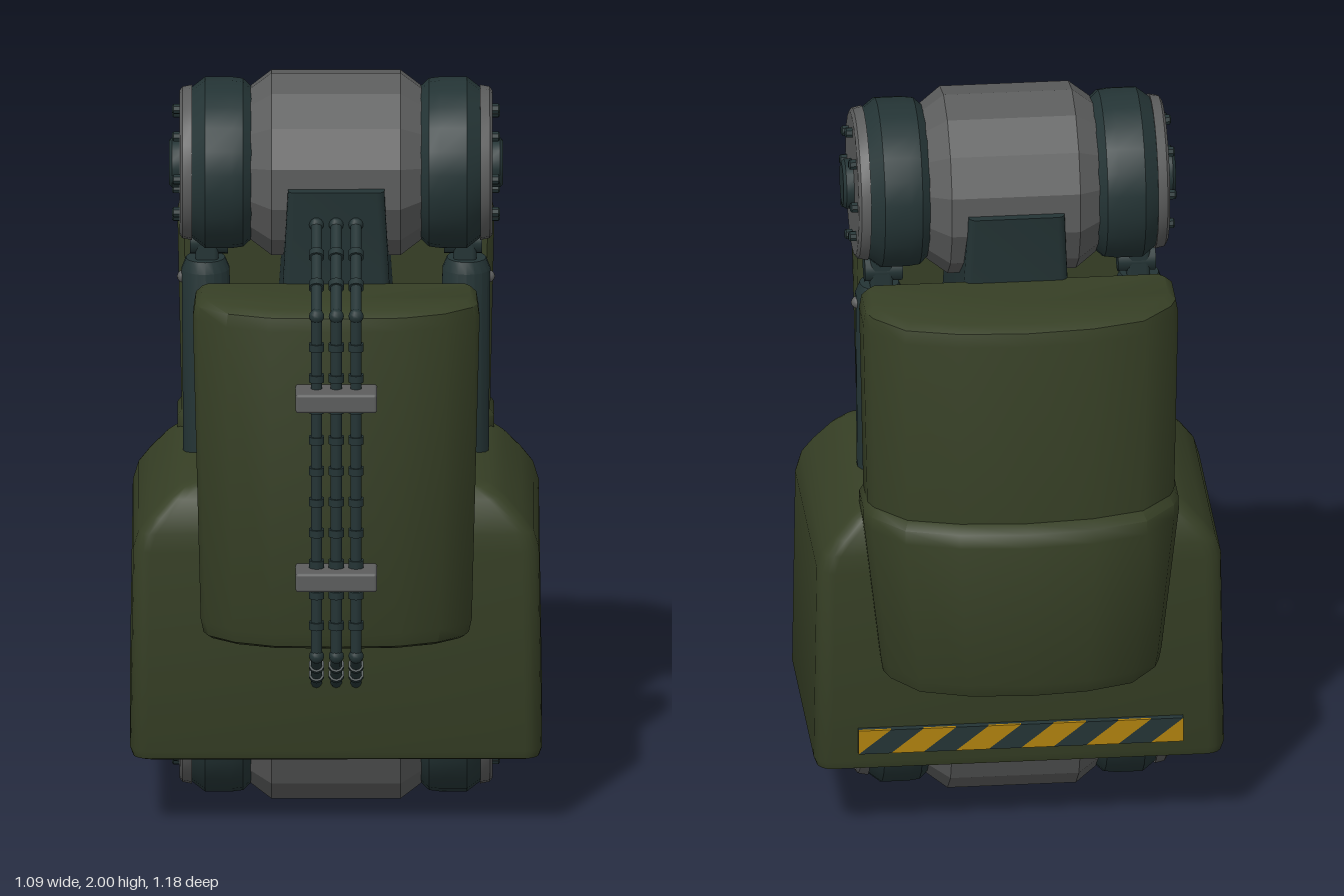
import * as THREE from 'three';
import { toCreasedNormals } from 'three/addons/utils/BufferGeometryUtils.js';
import { RoundedBoxGeometry } from 'three/addons/geometries/RoundedBoxGeometry.js';

const mat = (name, color) => {
  const m = new THREE.MeshStandardMaterial({ color });
  m.name = name;
  return m;
};

export function createModel() {
  const olive = mat('olive armour', 0x363f25);
  const grey = mat('grey steel', 0x5c5d5d);
  const teal = mat('dark teal metal', 0x243435);
  const yellow = mat('hazard yellow', 0xb0820e);

  const root = new THREE.Group();
  root.name = 'mechanicalLimb';
  const add = (parent, name, geo, material, x = 0, y = 0, z = 0) => {
    const m = new THREE.Mesh(geo, material);
    m.name = name;
    m.position.set(x, y, z);
    parent.add(m);
    return m;
  };

  // Skin a stack of rings ([y, [[x, z], ...]], bottom to top) with closed ends
  const loft = (stack, crease = 0.6) => {
    const pos = [], idx = [], n = stack[0][1].length;
    for (const [y, ring] of stack) for (const [x, z] of ring) pos.push(x, y, z);
    for (let j = 0; j < stack.length - 1; j++) for (let i = 0; i < n; i++) {
      const a = j * n + i, b = j * n + (i + 1) % n;
      idx.push(a, a + n, b + n, a, b + n, b);
    }
    [0, stack.length - 1].forEach((j, top) => {
      const ring = stack[j][1], c = pos.length / 3;
      pos.push(0, stack[j][0], ring.reduce((s, p) => s + p[1], 0) / n);
      for (let i = 0; i < n; i++) {
        const a = j * n + i, b = j * n + (i + 1) % n;
        idx.push(c, ...(top ? [b, a] : [a, b]));
      }
    });
    const g = new THREE.BufferGeometry();
    g.setAttribute('position', new THREE.Float32BufferAttribute(pos, 3));
    g.setIndex(idx);
    return toCreasedNormals(g, crease);
  };

  // Rounded rectangle ring
  const rect = (hx, z0, z1, r) => {
    const ring = [];
    [[1, 1], [-1, 1], [-1, -1], [1, -1]].forEach(([sx, sz], q) => {
      for (let k = 0; k <= 4; k++) {
        const a = (q + k / 4) * Math.PI / 2;
        ring.push([sx * (hx - r) + r * Math.cos(a), (sz > 0 ? z1 - r : z0 + r) + r * Math.sin(a)]);
      }
    });
    return ring;
  };

  // Bowed plate ring, scaled from a half outline and set on its rear plane
  const bowed = (half, sx, sz, z0) => {
    const full = half.concat(half.slice(0, -1).reverse().map(([x, z]) => [-x, z]));
    return full.map(([x, z]) => [x * sx, z0 + z * sz]);
  };

  // Solid of revolution along x; profile points are [x, radius]
  const spin = (profile, sides, crease) => {
    const g = new THREE.LatheGeometry(profile.map(([x, r]) => new THREE.Vector2(r, x)), sides, Math.PI / 2);
    g.rotateZ(-Math.PI / 2);
    return toCreasedNormals(g, crease);
  };

  // Rotary joints, top and bottom
  const barrel = spin([[-0.225, 0], [-0.225, 0.205], [-0.17, 0.247], [0.17, 0.247], [0.225, 0.205], [0.225, 0]], 14, 0.2);
  const collar = spin([[0.2, 0], [0.2, 0.18], [0.245, 0.222], [0.275, 0.226], [0.345, 0.226], [0.385, 0.195], [0.385, 0]], 22, 0.4);
  const disc = spin([[0.38, 0], [0.38, 0.205], [0.405, 0.2], [0.412, 0.19], [0.412, 0]], 24, 0.4);
  const hub = spin([[0.4, 0], [0.4, 0.066], [0.432, 0.066], [0.44, 0.058], [0.44, 0]], 16, 0.5);
  const bolt = spin([[0.405, 0], [0.405, 0.014], [0.428, 0.014], [0.432, 0.009], [0.432, 0]], 8, 0.5);
  const joint = (name, y) => {
    const g = new THREE.Group();
    g.name = name;
    g.position.set(0, y, -0.013);
    root.add(g);
    add(g, 'barrel', barrel, grey);
    for (const turn of [0, Math.PI]) {
      const end = new THREE.Group();
      end.name = 'jointEnd';
      end.rotation.y = turn;
      g.add(end);
      add(end, 'collar', collar, teal);
      add(end, 'endDisc', disc, grey);
      add(end, 'hub', hub, teal);
      for (let i = 0; i < 8; i++) {
        const a = i * Math.PI / 4;
        add(end, 'bolt', bolt, teal, 0, 0.148 * Math.sin(a), 0.148 * Math.cos(a));
      }
    }
  };
  joint('upperJoint', 1.753);
  joint('lowerJoint', 0.25);

  // Central column
  add(root, 'column', loft([
    [0.3, rect(0.2, -0.23, 0.225, 0.02)], [0.9, rect(0.18, -0.235, 0.23, 0.02)],
    [1.5, rect(0.14, -0.245, 0.235, 0.02)], [1.755, rect(0.127, -0.278, 0.262, 0.02)],
  ]), teal);

  // Lower housing
  add(root, 'lowerHousing', loft([
    [0.2, rect(0.515, -0.335, 0.295, 0.03)], [0.208, rect(0.535, -0.355, 0.315, 0.04)],
    [0.23, rect(0.543, -0.362, 0.322, 0.045)], [0.78, rect(0.535, -0.362, 0.322, 0.045)],
    [0.83, rect(0.52, -0.362, 0.322, 0.045)], [0.87, rect(0.49, -0.355, 0.315, 0.045)],
    [0.92, rect(0.445, -0.34, 0.3, 0.045)], [0.947, rect(0.41, -0.328, 0.285, 0.045)],
    [0.96, rect(0.36, -0.3, 0.255, 0.04)],
  ], 0.75), olive);

  // Front armour
  const frontHalf = [[0.36, 0], [0.375, 0.02], [0.378, 0.13], [0.365, 0.165], [0.29, 0.225], [0.18, 0.262], [0, 0.27]];
  const frontRows = [[0.56, 0.89, 0.87], [0.572, 0.925, 0.96], [0.61, 0.945, 1], [1.445, 1, 1], [1.48, 0.985, 0.97], [1.495, 0.94, 0.88]];
  add(root, 'frontArmour', loft(frontRows.map(([y, sx, sz]) => [y, bowed(frontHalf, sx, sz, 0.23)]), 0.75), olive);

  // Back armour, two overlapping plates
  const backHalf = [[0.4, 0], [0.417, 0.02], [0.417, 0.135], [0.4, 0.18], [0.32, 0.268], [0.18, 0.306], [0, 0.32]];
  const back = (name, rows) => {
    const m = add(root, name, loft(rows.map(([y, sx, sz]) => [y, bowed(backHalf, sx, sz, 0.24)]), 0.75), olive);
    m.rotation.y = Math.PI;
  };
  back('upperBackArmour', [[0.9, 0.97, 0.97], [1.51, 1, 0.97], [1.545, 0.985, 0.94], [1.56, 0.94, 0.85]]);
  back('lowerBackArmour', [[0.49, 0.84, 0.94], [0.502, 0.875, 1.04], [0.54, 0.89, 1.09], [0.94, 1, 1.09], [0.975, 1, 1.06], [0.995, 0.97, 0.98]]);

  // Side pistons
  const pistonGeo = toCreasedNormals(new THREE.LatheGeometry(
    [[0, 0], [0.068, 0], [0.064, 0.57], [0.052, 0.6], [0, 0.6]].map(p => new THREE.Vector2(...p)), 18), 0.5);
  for (const s of [1, -1]) {
    const g = new THREE.Group();
    g.name = s > 0 ? 'leftPiston' : 'rightPiston';
    root.add(g);
    const body = add(g, 'pistonBody', pistonGeo, teal, s * 0.335, 0.88, -0.05);
    body.rotation.z = -s * 0.015;
    add(g, 'clevis', new RoundedBoxGeometry(0.06, 0.14, 0.07, 2, 0.012), teal, s * 0.34, 1.51, -0.057);
    const pin = add(g, 'clevisPin', new THREE.CylinderGeometry(0.036, 0.036, 0.1, 14), teal, s * 0.335, 1.525, -0.057);
    pin.rotation.z = Math.PI / 2;
    add(g, 'pistonStud', new THREE.SphereGeometry(0.017, 10, 8), grey, s * 0.402, 1.425, -0.055);
  }

  // Ribbed cables down the front
  const path = [[1.665, 0.25], [1.5, 0.53], [0.56, 0.53], [0.41, 0.3]].map(([y, z]) => new THREE.Vector3(0, y, z));
  const up = new THREE.Vector3(0, 1, 0);
  const ribCounts = [3, 11, 3];
  for (const x of [-0.052, 0, 0.052]) {
    const g = new THREE.Group();
    g.name = 'cable';
    g.position.x = x;
    root.add(g);
    for (let i = 0; i < 3; i++) {
      const a = path[i], b = path[i + 1], dir = b.clone().sub(a);
      const rod = (name, r, len, t) => {
        const p = a.clone().lerp(b, t);
        add(g, name, new THREE.CylinderGeometry(r, r, len, 10), teal, p.x, p.y, p.z)
          .quaternion.setFromUnitVectors(up, dir.clone().normalize());
      };
      rod('cableRun', 0.0155, dir.length(), 0.5);
      for (let k = 1; k < ribCounts[i]; k++) rod('cableRib', 0.021, 0.02, k / ribCounts[i]);
    }
    for (const p of path) add(g, 'cableBend', new THREE.SphereGeometry(0.02, 10, 8), teal, 0, p.y, p.z);
  }
  for (const y of [1.275, 0.78])
    add(root, 'cableClamp', new RoundedBoxGeometry(0.215, 0.052, 0.1, 2, 0.008), grey, 0, y, 0.54);

  // Hazard strip on the back: slanted pieces in alternating colours
  const strip = new THREE.Group();
  strip.name = 'hazardStrip';
  strip.position.set(0, 0.26, -0.373);
  strip.rotation.y = Math.PI;
  root.add(strip);
  add(strip, 'stripBacking', new THREE.BoxGeometry(0.86, 0.068, 0.016), teal, 0, 0.034, -0.008);
  const W = 0.43, step = 0.086;
  const clamp = u => THREE.MathUtils.clamp(u, -W, W);
  for (let k = 0; k < 11; k++) {
    const u = -W + (k - 1) * step;
    const corners = [clamp(u), clamp(u + step), clamp(u + 2 * step), clamp(u + step)];
    const shape = new THREE.Shape(corners.map((c, i) => new THREE.Vector2(c, i < 2 ? 0 : 0.068)));
    add(strip, 'stripe', new THREE.ExtrudeGeometry(shape, { depth: 0.008, bevelEnabled: false }), k % 2 ? teal : yellow);
  }

  return root;
}
